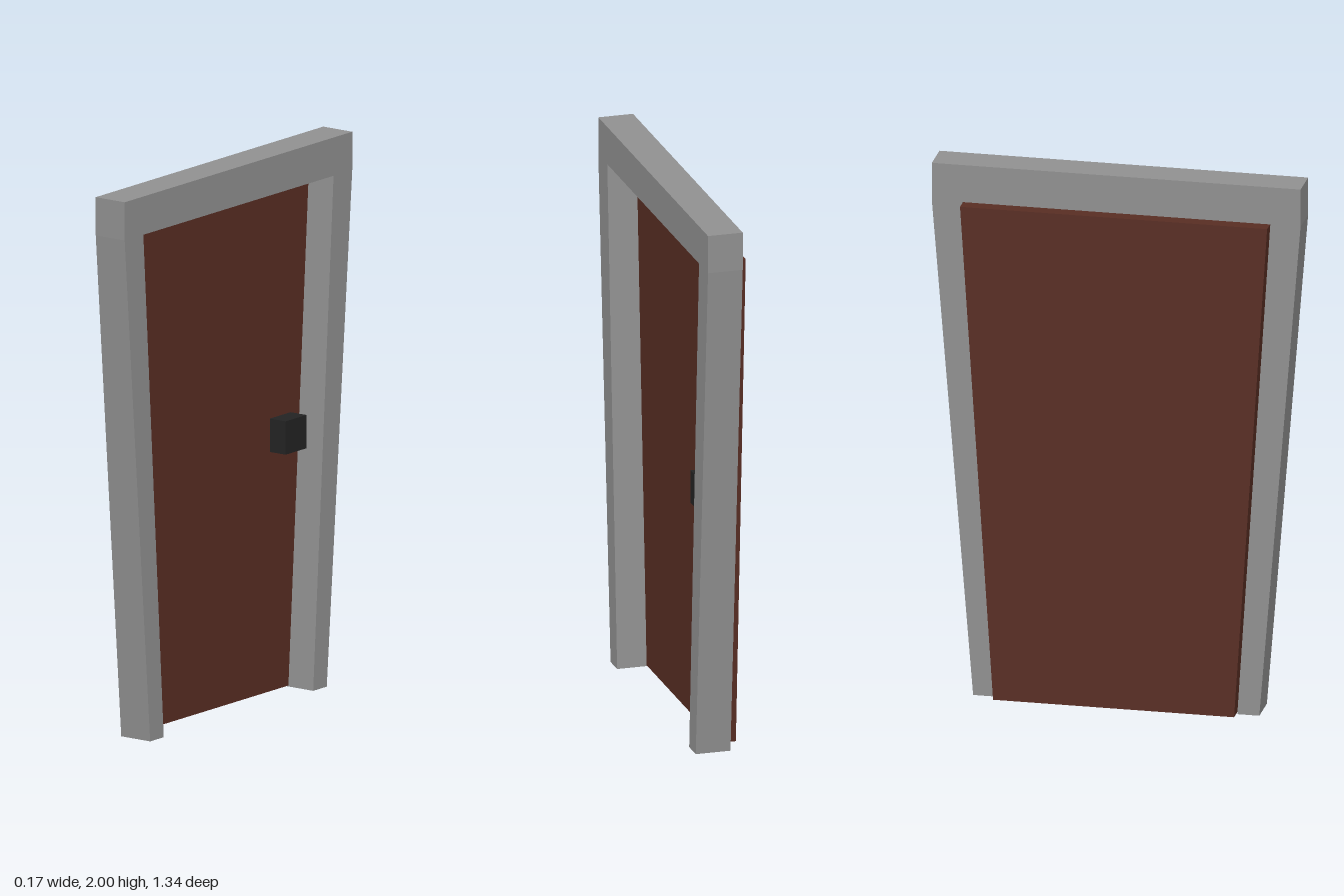
import * as THREE from 'three';

const frameGrey = new THREE.MeshStandardMaterial({ color: 0x909090, name: 'frameGrey' });
const doorBrown = new THREE.MeshStandardMaterial({ color: 0x582d23, name: 'doorBrown' });
const handleBlack = new THREE.MeshStandardMaterial({ color: 0x232323, name: 'handleBlack' });

// Extrude a (z, y) outline along x, from x0 to x1
function slab(name, points, x0, x1, material) {
  const shape = new THREE.Shape(points.map(([z, y]) => new THREE.Vector2(-z, y)));
  const geometry = new THREE.ExtrudeGeometry(shape, { depth: x1 - x0, bevelEnabled: false });
  geometry.rotateY(Math.PI / 2).translate(x0, 0, 0);
  const mesh = new THREE.Mesh(geometry, material);
  mesh.name = name;
  return mesh;
}

export function createModel() {
  const model = new THREE.Group();
  model.name = 'door';

  // Tapered surround, open at the bottom
  const half = [[0.44, 0], [0.56, 1.86]];
  model.add(slab('doorFrame', [
    [-0.52, 0], [-0.67, 1.86], [-0.67, 2], [0.67, 2], [0.67, 1.86], [0.52, 0],
    ...half, ...half.map(([z, y]) => [-z, y]).reverse(),
  ], -0.042, 0.087, frameGrey));

  // Tapered leaf, set into the back of the frame
  model.add(slab('doorLeaf', [
    [-0.438, 0.004], [-0.558, 1.858], [0.558, 1.858], [0.438, 0.004],
  ], -0.087, -0.022, doorBrown));

  // Square handle block
  const handle = new THREE.Mesh(new THREE.BoxGeometry(0.07, 0.122, 0.122), handleBlack);
  handle.name = 'handle';
  handle.position.set(0.013, 0.94, -0.39);
  model.add(handle);

  return model;
}
